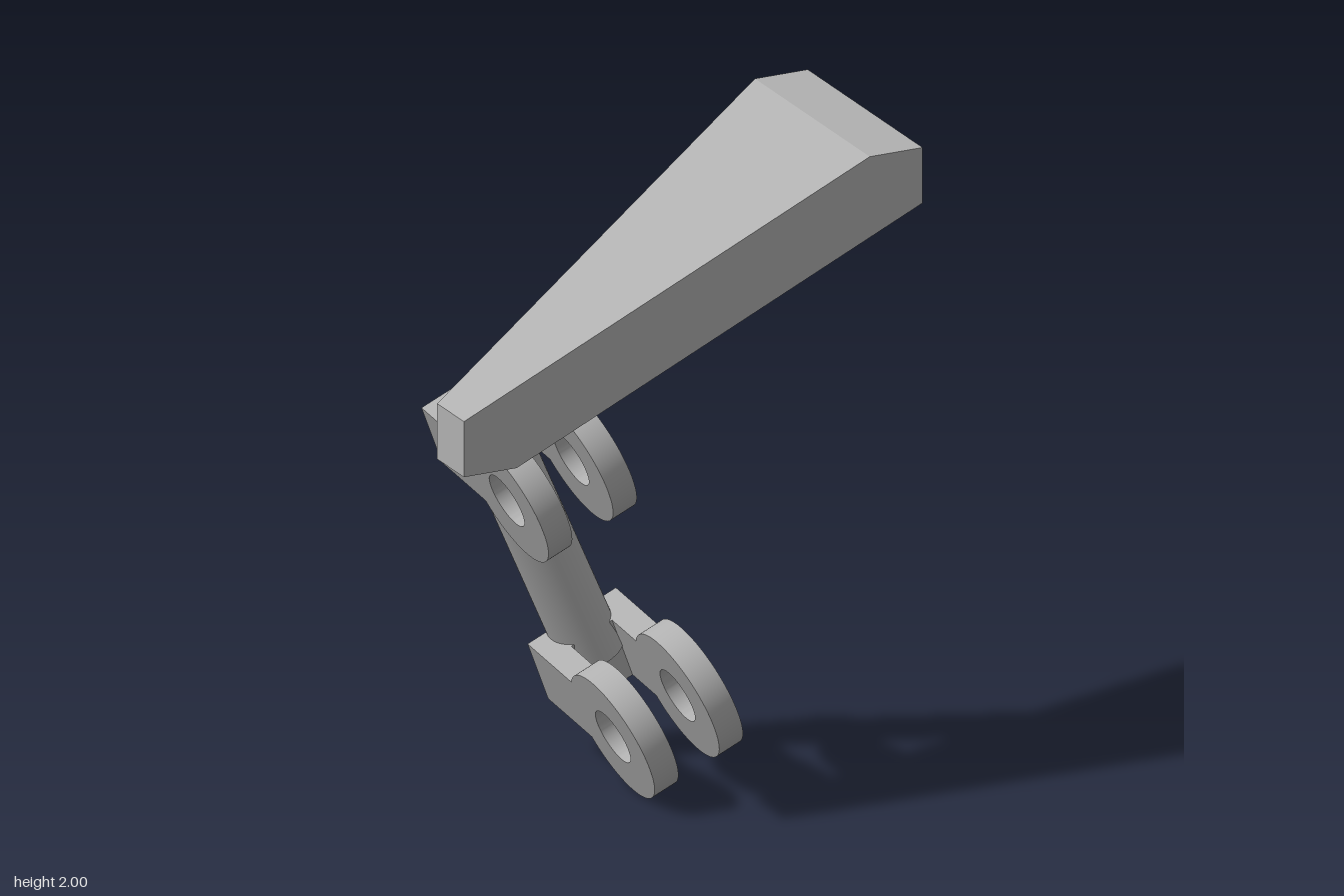
import * as THREE from 'three';
import { toCreasedNormals } from 'three/addons/utils/BufferGeometryUtils.js';
import { ConvexGeometry } from 'three/addons/geometries/ConvexGeometry.js';

const TILT = THREE.MathUtils.degToRad(23.8);  // sideways lean of both brackets
const PITCH = THREE.MathUtils.degToRad(10.3); // upward pitch of the bracket arms
const DISC_R = 0.214, HOLE_R = 0.09, ARM_HALF = 0.111, ARM_END = 0.437;
const WIDTH = 0.32, PRONG = 0.086, BASE = 0.116;

function mesh(name, geometry, material) {
  const m = new THREE.Mesh(geometry, material);
  m.name = name;
  return m;
}

// Eye plate: a drilled disc with a straight arm running towards -z
function prongGeometry() {
  const a = Math.asin(ARM_HALF / DISC_R);
  const s = new THREE.Shape();
  s.moveTo(ARM_END, -ARM_HALF);
  s.lineTo(ARM_END, ARM_HALF);
  s.absarc(0, 0, DISC_R, a, Math.PI * 2 - a, false);
  s.closePath();
  const hole = new THREE.Path();
  hole.absarc(0, 0, HOLE_R, 0, Math.PI * 2, true);
  s.holes.push(hole);
  const g = new THREE.ExtrudeGeometry(s, { depth: PRONG, bevelEnabled: false, curveSegments: 40 });
  g.translate(0, 0, -PRONG / 2);
  g.rotateY(Math.PI / 2);
  return toCreasedNormals(g, 0.5);
}

// Forked bracket: two eye plates joined by a base block
function clevis(name, position, material) {
  const g = new THREE.Group();
  g.name = name;
  for (const side of [-1, 1]) {
    const p = mesh(side > 0 ? 'leftProng' : 'rightProng', prongGeometry(), material);
    p.position.x = side * (WIDTH - PRONG) / 2;
    g.add(p);
  }
  const base = mesh('forkBase', new THREE.BoxGeometry(WIDTH - 2 * PRONG, ARM_HALF * 2, BASE), material);
  base.position.z = -ARM_END + BASE / 2;
  g.add(base);
  g.position.copy(position);
  g.rotation.set(PITCH, 0, TILT, 'ZXY');
  return g;
}

// Round rod between two points
function rod(name, from, to, radius, material) {
  const dir = to.clone().sub(from);
  const m = mesh(name, new THREE.CylinderGeometry(radius, radius, dir.length(), 40), material);
  m.position.copy(from).add(to).multiplyScalar(0.5);
  m.quaternion.setFromUnitVectors(new THREE.Vector3(0, 1, 0), dir.normalize());
  return m;
}

// Triangular slab: the hull of a cube placed at each corner of a triangle
function slabGeometry() {
  const h = 0.0875, points = [];
  const corners = [[-0.673, 1.3, 0.289], [0.673, 1.9125, 0.289], [0.673, 1.9125, -0.289]];
  for (const [x, y, z] of corners)
    for (const i of [-h, h]) for (const j of [-h, h]) for (const k of [-h, h])
      points.push(new THREE.Vector3(x + i, y + j, z + k));
  return new ConvexGeometry(points);
}

export function createModel() {
  const model = new THREE.Group();
  model.name = 'bracketedPlatform';
  const grey = new THREE.MeshStandardMaterial({ color: 0xb0b0b0 });
  grey.name = 'grey';

  // Brackets
  const low = new THREE.Vector3(0.02, 0.264, 0.1);
  const high = new THREE.Vector3(-0.332, 1.066, 0.1);
  model.add(clevis('lowerClevis', low, grey), clevis('upperClevis', high, grey));

  // Rods start at the centre of each fork base
  const toBase = new THREE.Vector3(0, 0, -ARM_END + BASE / 2)
    .applyEuler(new THREE.Euler(PITCH, 0, TILT, 'ZXY'));
  const lowBase = low.clone().add(toBase);
  const highBase = high.clone().add(toBase);
  model.add(rod('linkRod', lowBase, highBase, 0.1, grey));
  model.add(rod('platformRod', highBase, new THREE.Vector3(0.2, 1.69, 0.075), 0.1, grey));

  // Platform
  model.add(mesh('platform', slabGeometry(), grey));
  return model;
}
